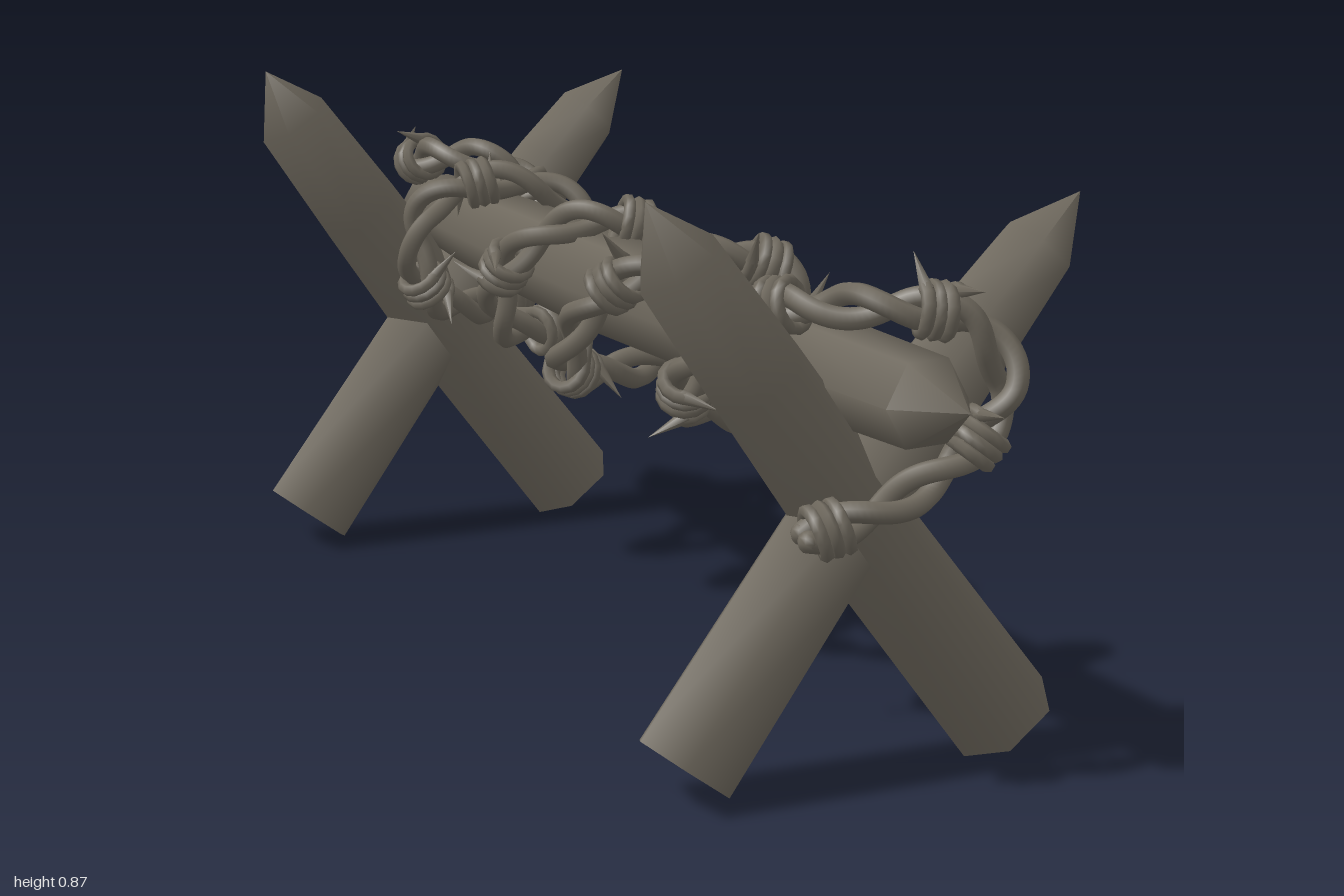
import * as THREE from 'three';
import { mergeGeometries, toCreasedNormals } from 'three/addons/utils/BufferGeometryUtils.js';

const SIDES = 6;
const V = (x, y, z) => new THREE.Vector3(x, y, z);

// Six-sided log lofted through [x, y, z, radius] sections; flat start, radius 0 makes a point.
function logGeometry(sections, across) {
  const centres = sections.map(([x, y, z]) => V(x, y, z));
  const rings = sections.map(([, , , r], i) => {
    const t = centres[Math.min(i + 1, centres.length - 1)].clone()
      .sub(centres[Math.max(i - 1, 0)]).normalize();
    const u = across.clone().cross(t).normalize();
    const ring = [];
    for (let k = 0; k < SIDES; k++) {
      const a = (k / SIDES) * Math.PI * 2;
      ring.push(centres[i].clone()
        .addScaledVector(u, r * Math.cos(a))
        .addScaledVector(across, r * Math.sin(a)));
    }
    return ring;
  });
  // Closing cap at the sawn end
  if (sections[0][3] > 0) rings.unshift(rings[0].map(() => centres[0]));
  const pos = [], idx = [];
  rings.forEach((ring) => ring.forEach((p) => pos.push(p.x, p.y, p.z)));
  for (let i = 0; i < rings.length - 1; i++) {
    for (let k = 0; k < SIDES; k++) {
      const a = i * SIDES + k, b = i * SIDES + ((k + 1) % SIDES);
      idx.push(a, b, b + SIDES, a, b + SIDES, a + SIDES);
    }
  }
  const g = new THREE.BufferGeometry();
  g.setAttribute('position', new THREE.Float32BufferAttribute(pos, 3));
  g.setIndex(idx);
  return toCreasedNormals(g, 1.2);
}

// Three tight coils around local z with two sharp ends sticking out
function barbGeometry() {
  const R = 0.034, turns = 3, half = 0.026, pts = [];
  const n = 36;
  for (let i = 0; i <= n; i++) {
    const a = (i / n) * turns * Math.PI * 2;
    pts.push(V(R * Math.cos(a), R * Math.sin(a), -half + (2 * half * i) / n));
  }
  const parts = [new THREE.TubeGeometry(new THREE.CatmullRomCurve3(pts), 42, 0.0105, 6)];
  for (const s of [-1, 1]) {
    const spike = new THREE.ConeGeometry(0.0115, 0.065, 6);
    spike.translate(0, 0.026, 0);
    const dir = V(0.5, s * 0.85, s * 0.25).normalize();
    spike.applyQuaternion(new THREE.Quaternion().setFromUnitVectors(V(0, 1, 0), dir));
    spike.translate(R, 0, s * half);
    parts.push(spike);
  }
  return mergeGeometries(parts);
}

// Path of the wire, winding around the beam from front to back
const WIRE_PATH = [
  [-0.14, 0.40, 0.85], [-0.02, 0.44, 0.88], [0.10, 0.52, 0.90], [0.145, 0.60, 0.91],
  [0.10, 0.69, 0.89], [0, 0.715, 0.86], [-0.07, 0.705, 0.77], [-0.12, 0.69, 0.68],
  [-0.17, 0.60, 0.58], [-0.15, 0.52, 0.51], [-0.04, 0.49, 0.49], [0.06, 0.51, 0.47],
  [0.10, 0.58, 0.43], [0.06, 0.68, 0.40], [-0.06, 0.71, 0.36], [-0.16, 0.67, 0.31],
  [-0.20, 0.58, 0.22], [-0.17, 0.50, 0.14], [-0.06, 0.48, 0.10], [0.06, 0.50, 0.07],
  [0.10, 0.58, 0.04], [0.06, 0.67, 0], [-0.04, 0.70, -0.04], [-0.12, 0.67, -0.09],
  [-0.16, 0.59, -0.16], [-0.13, 0.50, -0.21], [-0.02, 0.48, -0.25], [0.08, 0.52, -0.30],
  [0.11, 0.60, -0.35], [0.05, 0.68, -0.38], [-0.07, 0.71, -0.41], [-0.18, 0.66, -0.44],
  [-0.19, 0.57, -0.45], [-0.13, 0.49, -0.48], [-0.02, 0.47, -0.53], [0.08, 0.50, -0.59],
  [0.12, 0.58, -0.65], [0.11, 0.67, -0.69], [0.04, 0.70, -0.72], [-0.01, 0.70, -0.79],
  [-0.03, 0.67, -0.87],
];

export function createModel() {
  const model = new THREE.Group();
  model.name = 'barbedWireBarricade';
  const wood = new THREE.MeshStandardMaterial({ color: 0x6e685d });
  wood.name = 'weathered grey brown';
  const add = (parent, name, geometry) => {
    const mesh = new THREE.Mesh(geometry, wood);
    mesh.name = name;
    parent.add(mesh);
    return mesh;
  };

  // Crossed stakes at each end
  const rightStake = logGeometry([
    [0.245, 0.058, 0, 0.084], [0.02, 0.345, 0, 0.08], [-0.04, 0.43, 0, 0.08],
    [-0.17, 0.61, 0, 0.075], [-0.297, 0.783, 0, 0.066], [-0.345, 0.872, 0, 0],
  ], V(0, 0, 1));
  const leftStake = logGeometry([
    [-0.283, 0.058, 0, 0.085], [-0.06, 0.36, 0, 0.08], [0.10, 0.55, 0, 0.077],
    [0.20, 0.67, 0, 0.07], [0.28, 0.76, 0, 0.061], [0.352, 0.837, 0, 0],
  ], V(0, 0, 1));
  for (const [name, z] of [['frontStakes', 0.765], ['backStakes', -0.765]]) {
    const pair = new THREE.Group();
    pair.name = name;
    pair.position.z = z;
    add(pair, 'stakeLeaningRight', rightStake);
    add(pair, 'stakeLeaningLeft', leftStake);
    model.add(pair);
  }

  // Long bowed beam, sharpened at both ends
  add(model, 'beam', logGeometry([
    [0.03, 0.59, -1, 0], [0.02, 0.59, -0.89, 0.062], [0.005, 0.592, -0.65, 0.073],
    [-0.02, 0.598, -0.35, 0.08], [-0.035, 0.6, 0, 0.083], [-0.025, 0.598, 0.35, 0.08],
    [-0.005, 0.592, 0.65, 0.076], [0.01, 0.59, 0.92, 0.07], [0.03, 0.59, 1, 0],
  ], V(0, 1, 0)));

  // Two twisted wire strands
  const wire = new THREE.Group();
  wire.name = 'barbedWire';
  model.add(wire);
  const path = new THREE.CatmullRomCurve3(WIRE_PATH.map((p) => V(...p)));
  path.arcLengthDivisions = 800;
  const N = 380;
  const centres = path.getSpacedPoints(N);
  const frames = path.computeFrenetFrames(N, false);
  const twist = (path.getLength() / 0.24) * Math.PI * 2;
  for (const [name, phase] of [['wireStrandA', 0], ['wireStrandB', Math.PI]]) {
    const pts = centres.map((c, i) => {
      const a = phase + (twist * i) / N;
      return c.clone()
        .addScaledVector(frames.normals[i], 0.018 * Math.cos(a))
        .addScaledVector(frames.binormals[i], 0.018 * Math.sin(a));
    });
    add(wire, name, new THREE.TubeGeometry(new THREE.CatmullRomCurve3(pts), 560, 0.0165, 7));
    for (const end of [pts[0], pts[N]]) {
      add(wire, 'strandEnd', new THREE.SphereGeometry(0.0165, 8, 6)).position.copy(end);
    }
  }

  // Barbs spaced along the wire
  const barb = barbGeometry();
  const COUNT = 19;
  for (let j = 0; j < COUNT; j++) {
    const i = Math.round(N * (0.008 + (0.984 * j) / (COUNT - 1)));
    const mesh = add(wire, 'barb', barb);
    mesh.quaternion.setFromRotationMatrix(new THREE.Matrix4().makeBasis(
      frames.normals[i], frames.binormals[i], frames.tangents[i]));
    mesh.rotateZ(j * 2.1);
    mesh.position.copy(centres[i]);
  }
  return model;
}
